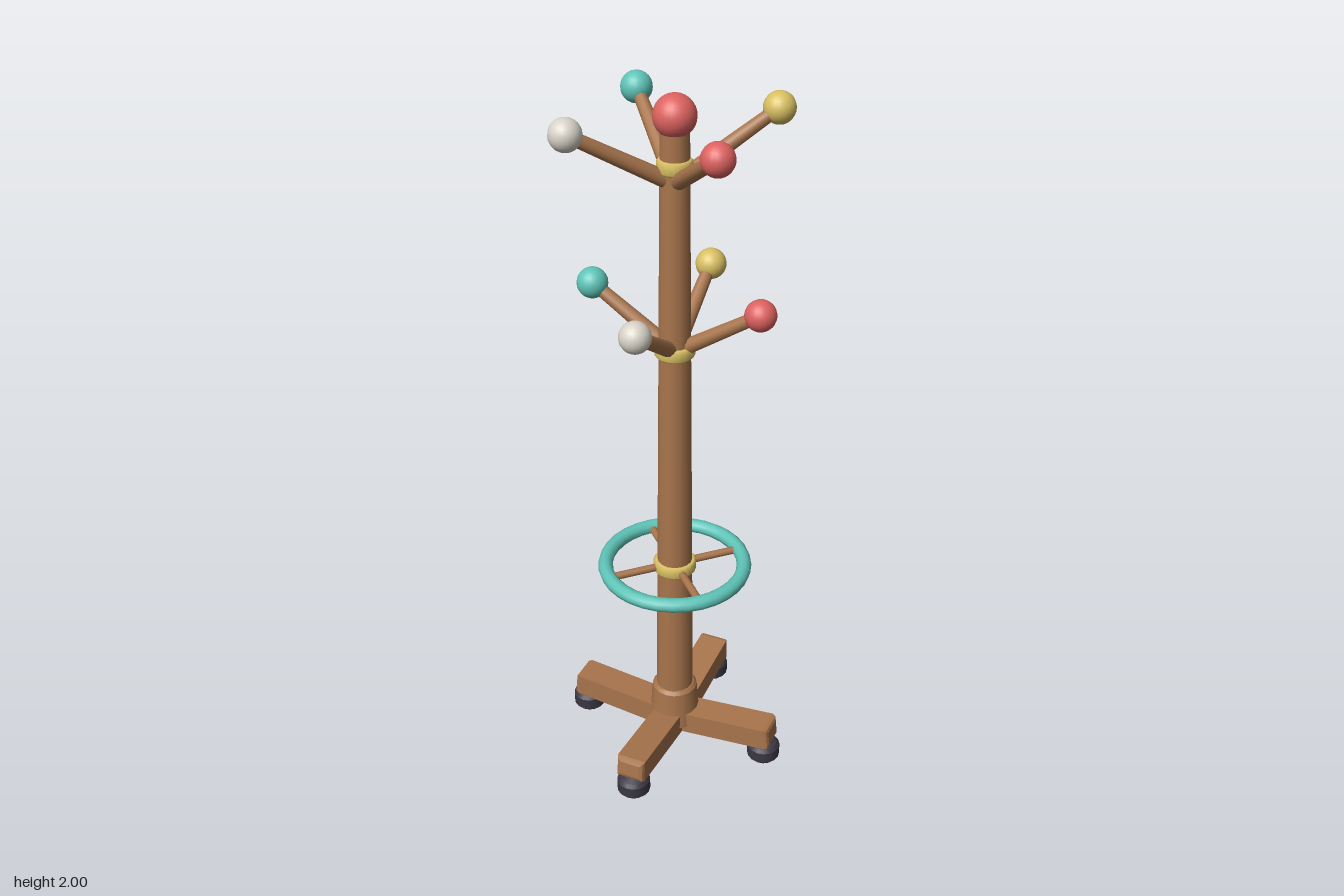
import * as THREE from 'three';

const mat = (name, color) => {
  const m = new THREE.MeshStandardMaterial({ color });
  m.name = name;
  return m;
};

export function createModel() {
  const wood = mat('wood', 0xa8754c);
  const teal = mat('teal', 0x5fc4b8);
  const red = mat('red', 0xdd6260);
  const gold = mat('gold', 0xd9c063);
  const cream = mat('cream', 0xd8d3c7);
  const rubber = mat('rubber', 0x3b3745);

  const root = new THREE.Group();
  root.name = 'coatStand';
  const add = (name, geometry, material, parent = root) => {
    const mesh = new THREE.Mesh(geometry, material);
    mesh.name = name;
    parent.add(mesh);
    return mesh;
  };
  const lathe = (pts, sides) =>
    new THREE.LatheGeometry(pts.map(([x, y]) => new THREE.Vector2(x, y)), sides);

  // Tapered round bar between two points
  const bar = (name, a, b, r0, r1, parent) => {
    const dir = b.clone().sub(a);
    const mesh = add(name, new THREE.CylinderGeometry(r1, r0, dir.length(), 12), wood, parent);
    mesh.position.copy(a).addScaledVector(dir, 0.5);
    mesh.quaternion.setFromUnitVectors(new THREE.Vector3(0, 1, 0), dir.normalize());
  };

  // Pole, hub and finial
  add('pole', new THREE.CylinderGeometry(0.037, 0.055, 1.84, 16), wood).position.y = 1.0;
  add('hub', lathe([[0, 0.06], [0.075, 0.06], [0.075, 0.06], [0.066, 0.18],
    [0.066, 0.18], [0.058, 0.19], [0.058, 0.19], [0, 0.19]], 16), wood);
  add('finial', new THREE.SphereGeometry(0.055, 24, 16), red).position.y = 1.945;

  // Bevelled legs with feet
  const bevel = 0.013, halfW = 0.043 - bevel, halfH = 0.034 - bevel;
  const section = new THREE.Shape([
    new THREE.Vector2(-halfW, -halfH), new THREE.Vector2(halfW, -halfH),
    new THREE.Vector2(halfW, halfH), new THREE.Vector2(-halfW, halfH)]);
  const legGeo = new THREE.ExtrudeGeometry(section, {
    depth: 0.32 - bevel, bevelEnabled: true, bevelThickness: bevel, bevelSize: bevel, bevelSegments: 2 });
  legGeo.rotateX(-0.1);
  const footGeo = lathe([[0, 0.0], [0.04, 0.0], [0.04, 0.0], [0.048, 0.009], [0.048, 0.009],
    [0.048, 0.043], [0.048, 0.043], [0.04, 0.054], [0.04, 0.054], [0, 0.07]], 16);
  for (let i = 0; i < 4; i++) {
    const leg = new THREE.Group();
    leg.name = 'leg' + (i + 1);
    leg.rotation.y = i * Math.PI / 2;
    add('legBeam', legGeo, wood, leg).position.y = 0.065;
    add('foot', footGeo, rubber, leg).position.z = 0.291;
    root.add(leg);
  }

  // Umbrella ring on four diagonal spokes
  const ring = add('umbrellaRing', new THREE.TorusGeometry(0.198, 0.021, 10, 32), teal);
  ring.rotation.x = Math.PI / 2;
  ring.position.y = 0.622;
  for (let i = 0; i < 4; i++) {
    const t = Math.PI / 4 + i * Math.PI / 2;
    bar('ringSpoke', new THREE.Vector3(0.03 * Math.sin(t), 0.622, 0.03 * Math.cos(t)),
      new THREE.Vector3(0.198 * Math.sin(t), 0.622, 0.198 * Math.cos(t)), 0.011, 0.011);
  }

  // Gold collars
  for (const [y, r] of [[0.622, 0.061], [1.312, 0.054], [1.82, 0.046]]) {
    add('collar', lathe([[r - 0.025, -0.018], [r - 0.006, -0.018], [r, -0.011],
      [r, 0.011], [r - 0.006, 0.018], [r - 0.025, 0.018]], 20), gold).position.y = y;
  }

  // Two tiers of arms, each ending in a coloured ball
  const ballGeo = new THREE.SphereGeometry(0.042, 20, 14);
  const tier = (name, turn, reach, y0, y1, colours) => {
    const group = new THREE.Group();
    group.name = name;
    colours.forEach((colour, i) => {
      const t = turn + i * Math.PI / 2;
      const at = (r, y) => new THREE.Vector3(r * Math.sin(t), y, r * Math.cos(t));
      bar('arm', at(0.01, y0), at(reach, y1), 0.022, 0.017, group);
      add('ball', ballGeo, colour, group).position.copy(at(reach, y1));
    });
    root.add(group);
  };
  tier('lowerArms', 0, 0.237, 1.312, 1.459, [cream, red, gold, teal]);
  tier('upperArms', Math.PI / 4, 0.276, 1.778, 1.932, [red, gold, teal, cream]);

  return root;
}
